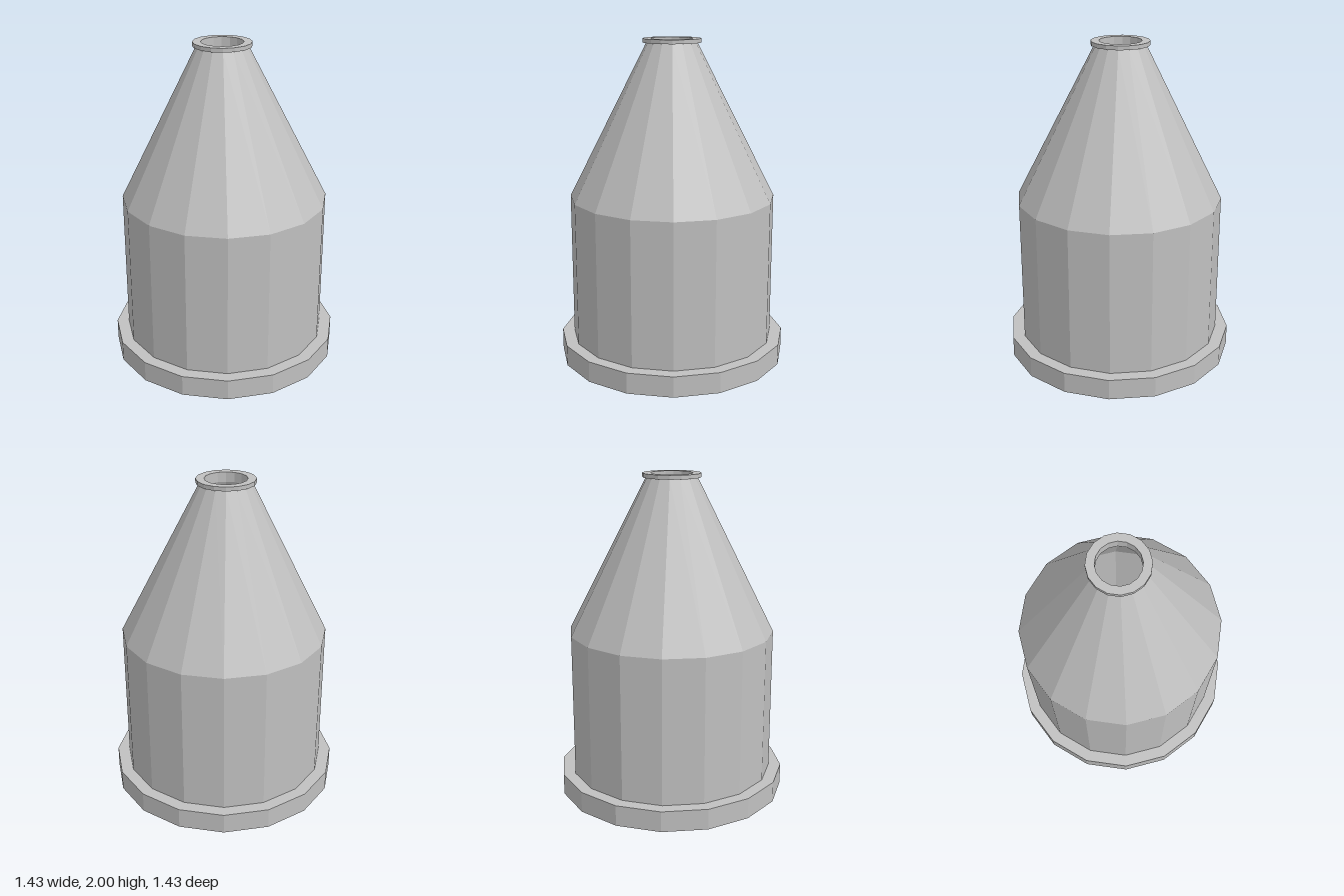
import * as THREE from 'three';

const SIDES = 16;

// Turned section from [radius, height] pairs; the mouth sits slightly off axis
function turned(name, profile, material) {
  const geometry = new THREE.LatheGeometry(profile.map(([r, y]) => new THREE.Vector2(r, y)), SIDES);
  const p = geometry.attributes.position;
  for (let i = 0; i < p.count; i++) {
    if (p.getY(i) > 1.9) p.setXYZ(i, p.getX(i) - 0.006, p.getY(i), p.getZ(i) - 0.011);
  }
  geometry.computeVertexNormals();
  const mesh = new THREE.Mesh(geometry, material);
  mesh.name = name;
  return mesh;
}

export function createModel() {
  const group = new THREE.Group();
  group.name = 'nozzle';
  const grey = new THREE.MeshStandardMaterial({ color: 0xc0c0c0, flatShading: true });
  grey.name = 'light grey';

  group.add(
    // Flange with its flat underside and top step
    turned('baseFlange', [[0.514, 0], [0.713, 0], [0.713, 0.13], [0.637, 0.13]], grey),
    // Straight faceted wall
    turned('body', [[0.637, 0.13], [0.637, 1.03]], grey),
    // Tapered upper part
    turned('cone', [[0.637, 1.03], [0.155, 1.975]], grey),
    // Thin collar around the mouth
    turned('mouthCollar', [[0.155, 1.975], [0.178, 1.975], [0.178, 2], [0.128, 2]], grey),
    // Hollow inside, from the mouth down to the base
    turned('bore', [[0.128, 2], [0.128, 1.94], [0.514, 1.03], [0.514, 0]], grey),
  );
  return group;
}
